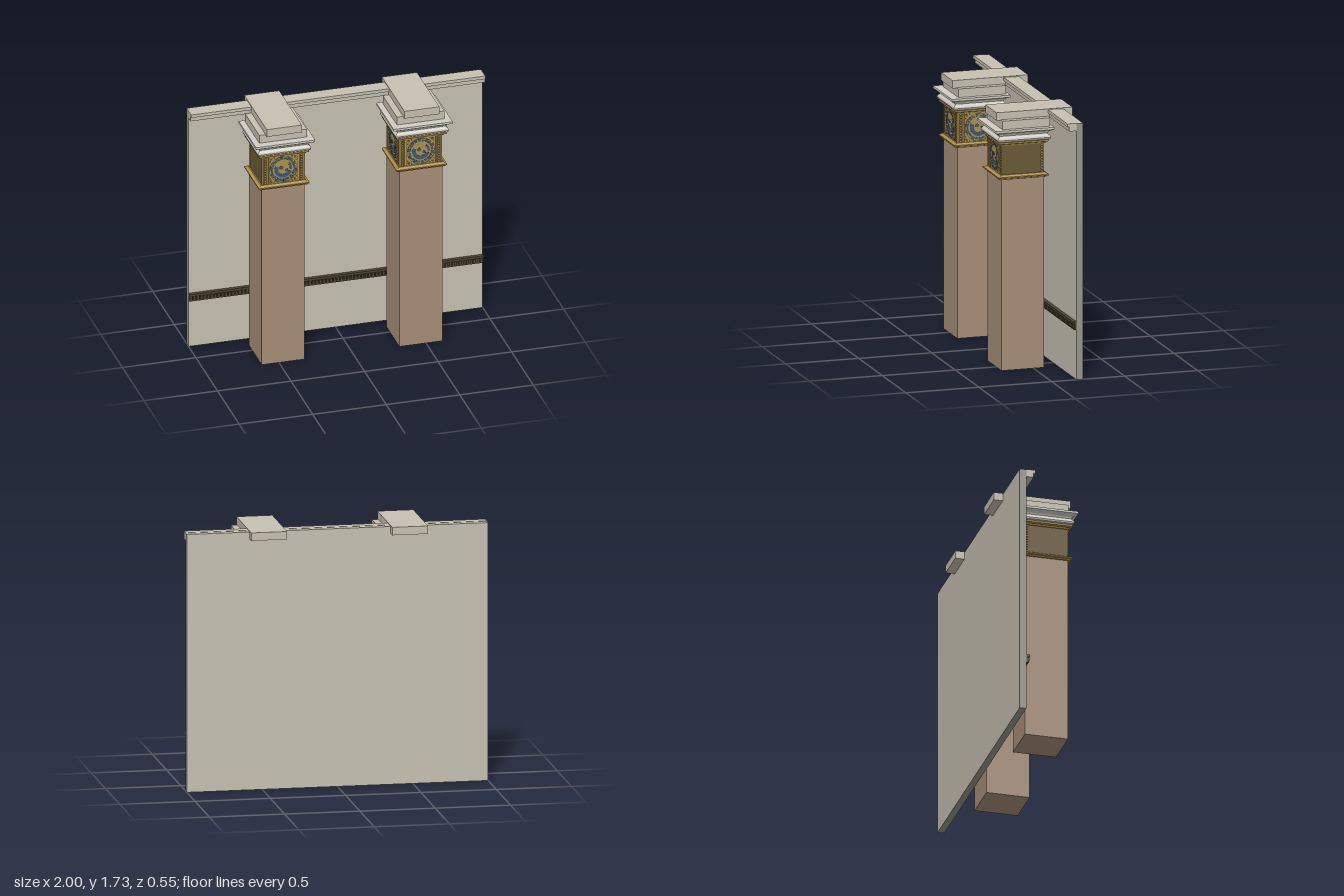
import * as THREE from 'three';
import { mergeGeometries } from 'three/addons/utils/BufferGeometryUtils.js';

const mat = (name, color) => new THREE.MeshStandardMaterial({ name, color });

export function createModel() {
  const stone = mat('warm stone', 0xc6c1b2);
  const edge = mat('grey wall edge', 0x97978a);
  const pale = mat('pale moulding', 0xd0cec4);
  const clay = mat('clay shaft', 0xa88e78);
  const gold = mat('gold', 0xb0904a);
  const bronze = mat('bronze', 0x6a5936);
  const blue = mat('blue enamel', 0x3c5878);
  const dark = mat('dark rail', 0x4c4532);

  const model = new THREE.Group();
  model.name = 'colonnadeWall';

  const add = (parent, name, geometry, material) => {
    const mesh = new THREE.Mesh(geometry, material);
    mesh.name = name;
    parent.add(mesh);
    return mesh;
  };
  // Box given by its minimum and maximum on each axis
  const span = (x0, x1, y0, y1, z0, z1) =>
    new THREE.BoxGeometry(x1 - x0, y1 - y0, z1 - z0)
      .translate((x0 + x1) / 2, (y0 + y1) / 2, (z0 + z1) / 2);
  // Square moulding swept from [half width, height] pairs
  const squareMoulding = (profile) => {
    const pts = profile.map(([r, y]) => new THREE.Vector2(r * Math.SQRT2, y));
    const g = new THREE.LatheGeometry(pts, 4, Math.PI / 4).toNonIndexed();
    g.computeVertexNormals();
    return g;
  };
  const plate = (shape, z, depth = 0.003) =>
    new THREE.ExtrudeGeometry(shape, { depth, bevelEnabled: false, curveSegments: 20 }).translate(0, 0, z);
  // Flat ring segment
  const arc = (r0, r1, a0, a1) => {
    const s = new THREE.Shape();
    s.absarc(0, 0, r1, a0, a1, false);
    s.absarc(0, 0, r0, a1, a0, true);
    s.closePath();
    return s;
  };
  const disc = (x, y, r, z) => {
    const s = new THREE.Shape();
    s.absarc(x, y, r, 0, Math.PI * 2, false);
    return plate(s, z);
  };

  // Wall with grey ends and underside
  add(model, 'wall', span(-1, 1, 0, 1.72, -0.215, -0.17), [edge, edge, stone, edge, stone, stone]);

  // Stepped cornice along the wall top
  add(model, 'corniceUpper', span(-1, 1, 1.7, 1.722, -0.17, -0.108), stone);
  add(model, 'corniceLower', span(-1, 1, 1.67, 1.7, -0.17, -0.12), stone);

  // Dentilled rail low on the wall
  const rail = [
    span(-1, 1, 0.374, 0.39, -0.17, -0.145),
    span(-1, 1, 0.345, 0.374, -0.17, -0.158),
    span(-1, 1, 0.336, 0.345, -0.17, -0.152),
  ];
  const count = 84;
  for (let i = 0; i < count; i++) {
    const x = -1 + (i + 0.5) * 2 / count;
    rail.push(span(x - 0.008, x + 0.008, 0.345, 0.37, -0.158, -0.148));
  }
  add(model, 'dentilRail', mergeGeometries(rail), dark);

  // Vertical row of gold beads
  const beads = (x) => {
    const list = [];
    for (let i = 0; i < 11; i++) {
      list.push(new THREE.SphereGeometry(0.007, 8, 6).scale(1, 1, 0.7).translate(x, -0.09 + i * 0.018, 0.001));
    }
    return list;
  };

  // Ornamental panel facing +z, centred on the origin
  const ornatePanel = () => {
    const g = new THREE.Group();
    g.name = 'ornatePanel';
    const golds = [...beads(-0.122), ...beads(0.122)];
    for (const x of [-0.141, -0.104, 0.104, 0.141]) {
      golds.push(span(x - 0.003, x + 0.003, -0.1, 0.1, 0, 0.004));
    }
    add(g, 'beading', mergeGeometries(golds), gold);

    // Pierced square surround and the medallion ground
    const surround = new THREE.Shape([[-0.098, -0.098], [0.098, -0.098], [0.098, 0.098], [-0.098, 0.098]]
      .map(([x, y]) => new THREE.Vector2(x, y)));
    const hole = new THREE.Path();
    hole.absarc(0, 0, 0.095, 0, Math.PI * 2, true);
    surround.holes.push(hole);
    add(g, 'surround', plate(surround, 0), gold);
    add(g, 'medallion', disc(0, 0, 0.091, 0), gold);

    // Corner sinkings
    const corners = [];
    for (const sx of [-1, 1]) for (const sy of [-1, 1]) {
      corners.push(disc(sx * 0.082, sy * 0.082, 0.009, 0.002));
      corners.push(disc(sx * 0.062, sy * 0.088, 0.005, 0.002));
      corners.push(disc(sx * 0.088, sy * 0.062, 0.005, 0.002));
    }
    add(g, 'cornerOrnaments', mergeGeometries(corners), bronze);

    // Broken blue ring with a curled motif inside
    const blues = [];
    const n = 20, step = Math.PI * 2 / n;
    for (let i = 0; i < n; i++) {
      blues.push(plate(arc(0.07, i % 2 ? 0.09 : 0.084, i * step, (i + 0.8) * step), 0.002));
    }
    blues.push(plate(arc(0.034, 0.06, Math.PI * 0.85, Math.PI * 1.9), 0.002));
    blues.push(plate(arc(0.045, 0.06, -0.1, Math.PI * 0.25), 0.002));
    blues.push(disc(-0.012, 0.012, 0.013, 0.002));
    blues.push(disc(0.022, -0.008, 0.011, 0.002));
    add(g, 'blueMotif', mergeGeometries(blues), blue);
    return g;
  };

  // side: -1 or +1; the inner face looks toward the middle of the wall
  const column = (cx, side) => {
    const g = new THREE.Group();
    g.name = side > 0 ? 'leftColumn' : 'rightColumn';
    g.position.set(cx, 0, 0.073);

    add(g, 'shaft', span(-0.146, 0.146, 0, 1.285, -0.146, 0.146), clay);
    add(g, 'lowerGoldMoulding', squareMoulding([
      [0, 1.283], [0.16, 1.283], [0.16, 1.29], [0.172, 1.294], [0.172, 1.302],
      [0.158, 1.306], [0.152, 1.313], [0.14, 1.313]]), gold);
    add(g, 'friezeBlock', span(-0.144, 0.144, 1.3, 1.52, -0.144, 0.144), bronze);
    add(g, 'upperGoldMoulding', squareMoulding([
      [0.14, 1.508], [0.152, 1.508], [0.156, 1.518], [0.17, 1.523], [0.17, 1.534], [0, 1.534]]), gold);

    // Ornament on the front and inner faces
    const front = ornatePanel();
    front.position.set(0, 1.41, 0.144);
    const inner = ornatePanel();
    inner.position.set(-side * 0.144, 1.41, 0);
    inner.rotation.y = -side * Math.PI / 2;
    g.add(front, inner);

    // Bead row on the rear edge of the outer face
    const row = add(g, 'rearBeads', mergeGeometries(beads(side * 0.13)), gold);
    row.position.set(side * 0.144, 1.41, 0);
    row.rotation.y = side * Math.PI / 2;

    // Pale capital with a round bulge under a flat slab
    add(g, 'capital', squareMoulding([
      [0.14, 1.532], [0.165, 1.532], [0.177, 1.54], [0.181, 1.551], [0.178, 1.562], [0.168, 1.571],
      [0.165, 1.578], [0.17, 1.588], [0.18, 1.597], [0.194, 1.602], [0.201, 1.606],
      [0.201, 1.621], [0, 1.621]]), pale);
    add(g, 'impostBlock', span(-0.162, 0.162, 1.62, 1.678, -0.183, 0.144), stone);
    add(g, 'crossBeam', span(-0.119, 0.119, 1.674, 1.727, -0.349, 0.171), stone);
    return g;
  };
  model.add(column(-0.471, -1), column(0.465, 1));
  return model;
}
